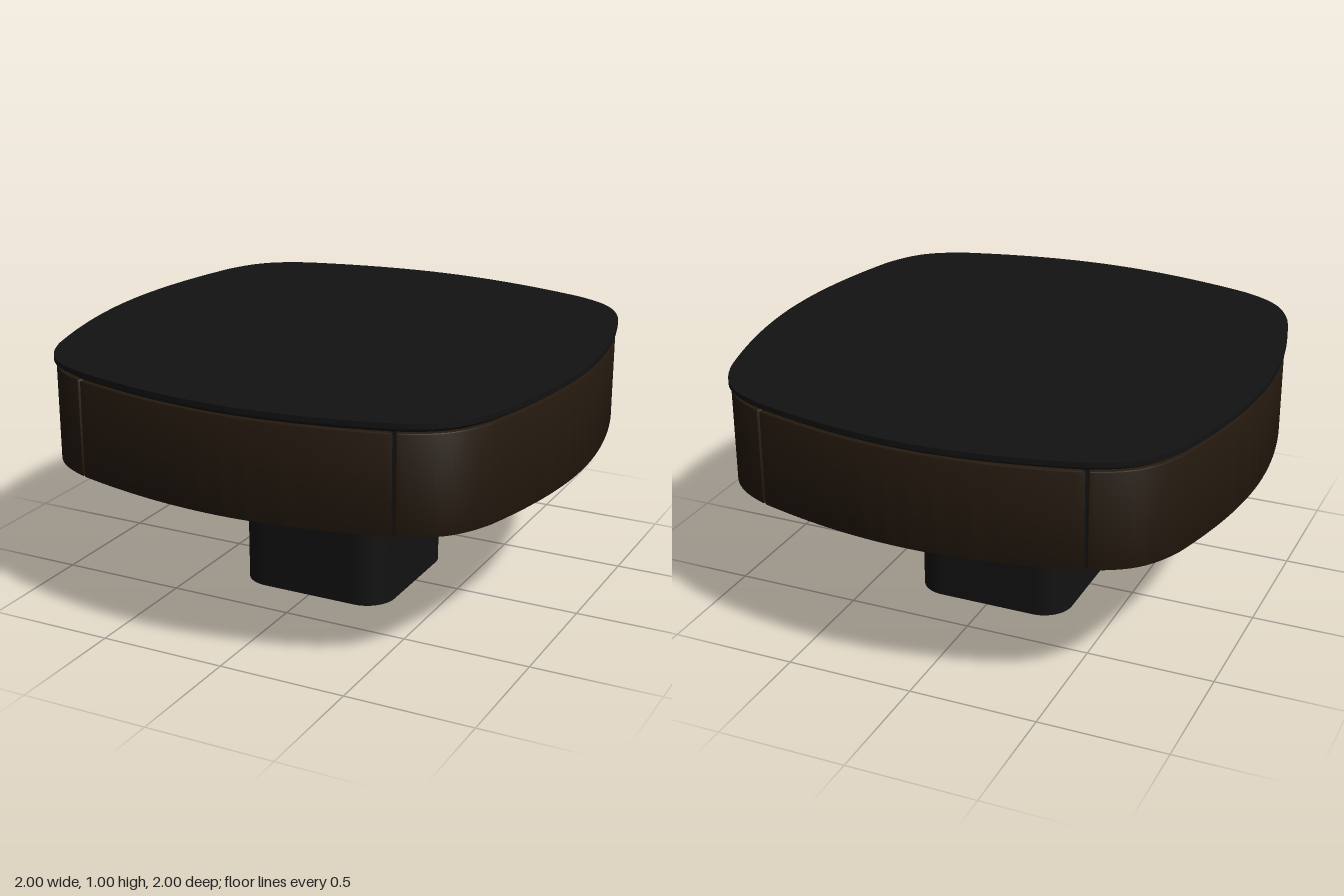
import * as THREE from 'three';
import { toCreasedNormals } from 'three/addons/utils/BufferGeometryUtils.js';

const SIDE = 14, CORNER = 16; // segments per half side and per corner
const V = (x, y) => new THREE.Vector2(x, y);

// Soft square outline in (x, z): four bowed sides joined by round corners
function softSquare() {
  const half = new THREE.CubicBezierCurve(V(0, 1), V(0.22, 1), V(0.44, 0.957), V(0.64, 0.897)).getPoints(SIDE);
  const corner = new THREE.CubicBezierCurve(V(0.64, 0.897), V(0.785, 0.84), V(0.84, 0.785), V(0.897, 0.64)).getPoints(CORNER);
  const quarter = [
    ...half.slice(1).reverse().map((p) => V(-p.x, p.y)),
    ...half,
    ...corner.slice(1, -1),
  ];
  const loop = [];
  for (let k = 0; k < 4; k++) {
    for (const p of quarter) loop.push(p.clone().rotateAround(V(0, 0), -k * Math.PI / 2));
  }
  return loop;
}

const scaled = (points, s) => points.map((p) => p.clone().multiplyScalar(s));

// Upright prism from a plan outline, between two heights
function prism(shape, bottom, top, bevel = 0, steps = 1) {
  const geometry = new THREE.ExtrudeGeometry(shape, {
    depth: top - bottom - 2 * bevel, steps, curveSegments: 12,
    bevelEnabled: bevel > 0, bevelSize: bevel, bevelThickness: bevel, bevelOffset: -bevel, bevelSegments: 2,
  });
  geometry.rotateX(Math.PI / 2);
  geometry.translate(0, top - bevel, 0);
  return geometry;
}

function roundedSquare(h, r) {
  const s = new THREE.Shape();
  s.absarc(h - r, h - r, r, 0, Math.PI / 2);
  s.absarc(r - h, h - r, r, Math.PI / 2, Math.PI);
  s.absarc(r - h, r - h, r, Math.PI, Math.PI * 1.5);
  s.absarc(h - r, r - h, r, Math.PI * 1.5, Math.PI * 2);
  s.closePath();
  return s;
}

export function createModel() {
  const group = new THREE.Group();
  const black = new THREE.MeshStandardMaterial({ color: 0x121212 });
  const wood = new THREE.MeshStandardMaterial({ color: 0x24190e });
  const add = (name, geometry, material) => {
    const mesh = new THREE.Mesh(toCreasedNormals(geometry, 0.5), material);
    mesh.name = name;
    group.add(mesh);
  };
  const outline = softSquare();

  // Table top with an undercut lower edge
  const top = prism(new THREE.Shape(outline), 0.96, 1, 0, 2);
  const pos = top.attributes.position;
  for (let i = 0; i < pos.count; i++) {
    if (pos.getY(i) < 0.965) pos.setXYZ(i, pos.getX(i) * 0.972, pos.getY(i), pos.getZ(i) * 0.972);
  }
  add('tableTop', top, black);

  // Dark body behind the wooden panels, also the underside
  add('body', prism(new THREE.Shape(scaled(outline, 0.972)), 0.583, 0.965), black);

  // Four wooden apron panels, separated by narrow seams
  const count = outline.length, short = 2 * SIDE, long = count / 2 - short;
  let start = 0;
  for (const [name, length] of [['frontPanel', short], ['leftPanel', long], ['backPanel', short], ['rightPanel', long]]) {
    const arc = [];
    for (let i = 0; i <= length; i++) arc.push(outline[(start + i) % count].clone());
    const trim = (end, next) => end.add(next.clone().sub(end).setLength(0.007));
    trim(arc[0], arc[1]);
    trim(arc[length], arc[length - 1]);
    const shape = new THREE.Shape([...scaled(arc, 0.992), ...scaled(arc, 0.955).reverse()]);
    add(name, prism(shape, 0.585, 0.962, 0.005), wood);
    start += length;
  }

  // Central pedestal
  add('pedestal', prism(roundedSquare(0.317, 0.12), 0, 0.6), black);
  return group;
}
